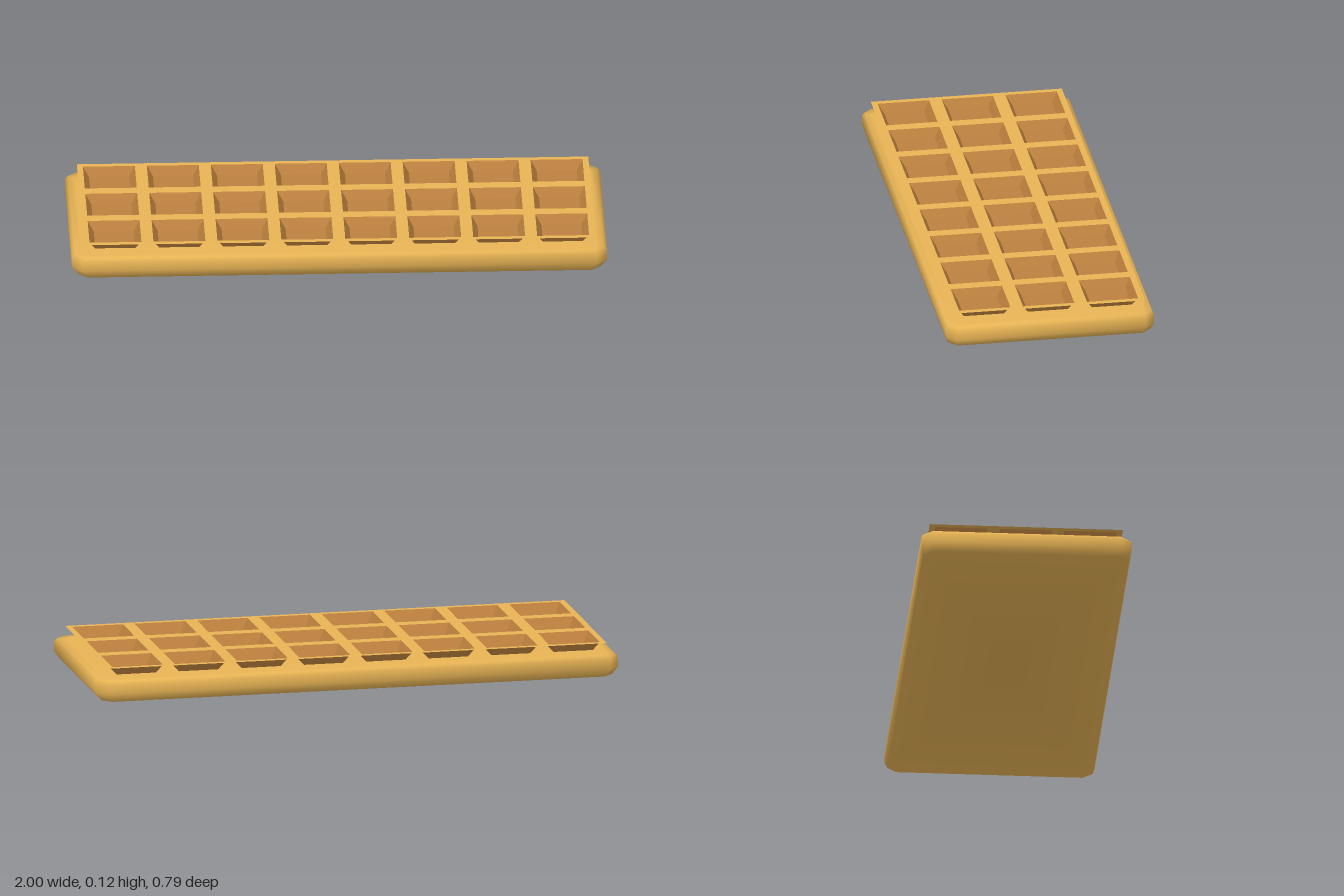
import * as THREE from 'three';

const materials = {
  crust: new THREE.MeshStandardMaterial({ name: 'golden crust', color: 0xe8b455, side: THREE.DoubleSide }),
  toast: new THREE.MeshStandardMaterial({ name: 'toasted pocket', color: 0xbc803e, side: THREE.DoubleSide, flatShading: true }),
};

const COLS = 8, ROWS = 3, CELL = 0.239;
const TOP = 0.122, BOTTOM = 0.088, OPEN = 0.097, BASE = 0.075; // pocket heights and half widths

// Slab with cut corners: eight-sided rings with normals that roll smoothly from underside to top
function slabGeometry() {
  const rings = [ // y, inset in x, inset in z, tilt of the normal above the horizon
    [0, 0.022, 0.008, -0.9], [0.03, 0, 0, -0.2], [0.066, 0, 0, 0.25], [0.079, 0.011, 0.006, 0.8], [0.081, 0.038, 0.032, 1.5],
  ];
  const pos = [], normal = [], index = [], cut = 0.036, n = 8;
  const turn = Math.PI / 8; // corner normals lean halfway towards the cut
  for (const [y, ix, iz, tilt] of rings) {
    const x = 1 - ix, z = 0.393 - iz, a = x - cut, b = z - cut;
    const near = Math.cos(turn) * Math.cos(tilt), far = Math.sin(turn) * Math.cos(tilt), up = Math.sin(tilt);
    for (const [px, pz] of [[x, -b], [x, b], [a, z], [-a, z], [-x, b], [-x, -b], [-a, -z], [a, -z]]) {
      const onEnd = Math.abs(px) === x;
      pos.push(px, y, pz);
      normal.push(Math.sign(px) * (onEnd ? near : far), up, Math.sign(pz) * (onEnd ? far : near));
    }
  }
  for (let r = 0; r < rings.length - 1; r++) {
    for (let i = 0; i < n; i++) {
      const a = r * n + i, b = r * n + (i + 1) % n;
      index.push(a, a + n, b, b, a + n, b + n);
    }
  }
  // Bottom and top caps, each fanned from a centre point
  const last = (rings.length - 1) * n, low = rings.length * n, high = low + 1;
  pos.push(0, 0, 0, 0, 0.081, 0);
  normal.push(0, -1, 0, 0, 1, 0);
  for (let i = 0; i < n; i++) {
    const j = (i + 1) % n;
    index.push(low, i, j, high, last + j, last + i);
  }
  const g = new THREE.BufferGeometry();
  g.setAttribute('position', new THREE.Float32BufferAttribute(pos, 3));
  g.setAttribute('normal', new THREE.Float32BufferAttribute(normal, 3));
  g.setIndex(index);
  return g;
}

function rectangle(PathClass, cx, cy, hx, hy) {
  const p = new PathClass();
  p.moveTo(cx - hx, cy - hy);
  p.lineTo(cx + hx, cy - hy);
  p.lineTo(cx + hx, cy + hy);
  p.lineTo(cx - hx, cy + hy);
  p.closePath();
  return p;
}

export function createModel() {
  const model = new THREE.Group();
  model.name = 'waffle';
  const add = (parent, name, geometry, material) => {
    const mesh = new THREE.Mesh(geometry, material);
    mesh.name = name;
    parent.add(mesh);
    return mesh;
  };

  add(model, 'body', slabGeometry(), materials.crust);

  // Thin top sheet, pierced by the pockets
  const sheet = rectangle(THREE.Shape, 0, 0, COLS * CELL / 2, ROWS * CELL / 2 + 0.003);

  const wallGeometry = new THREE.CylinderGeometry(OPEN * Math.SQRT2, BASE * Math.SQRT2, TOP - BOTTOM, 4, 1, true)
    .rotateY(Math.PI / 4);
  const floorGeometry = new THREE.PlaneGeometry(BASE * 2, BASE * 2).rotateX(-Math.PI / 2);

  // Sloping pockets hung below the sheet
  for (let c = 0; c < COLS; c++) {
    for (let r = 0; r < ROWS; r++) {
      const x = (c - (COLS - 1) / 2) * CELL, z = (r - (ROWS - 1) / 2) * (CELL + 0.003);
      sheet.holes.push(rectangle(THREE.Path, x, -z, OPEN, OPEN));
      const pocket = new THREE.Group();
      pocket.name = 'pocket';
      pocket.position.set(x, 0, z);
      add(pocket, 'pocketWalls', wallGeometry, materials.toast).position.y = (TOP + BOTTOM) / 2;
      add(pocket, 'pocketFloor', floorGeometry, materials.toast).position.y = BOTTOM;
      model.add(pocket);
    }
  }
  add(model, 'topGrid', new THREE.ShapeGeometry(sheet).rotateX(-Math.PI / 2), materials.crust).position.y = TOP;
  return model;
}
